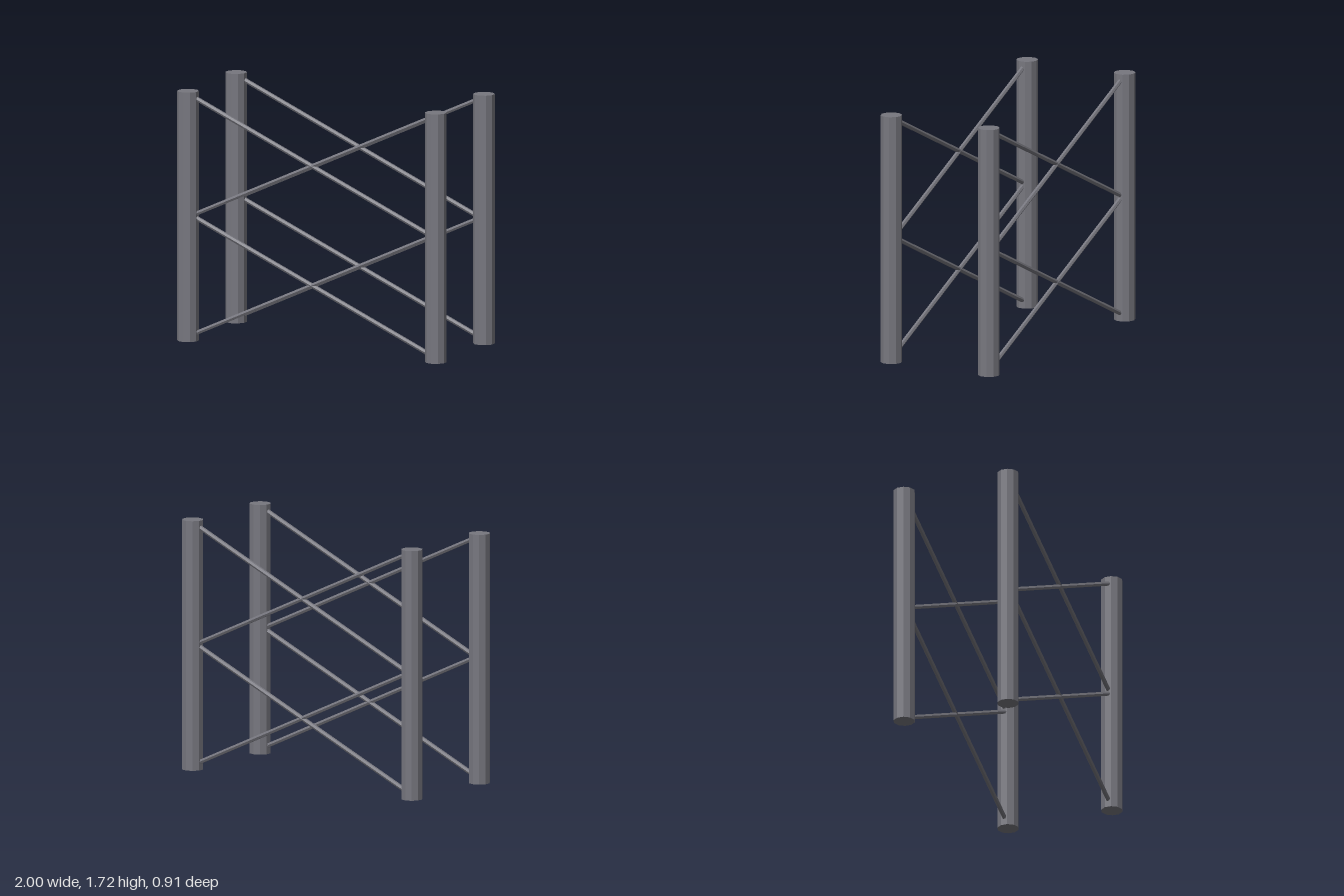
import * as THREE from 'three';

export function createModel() {
  const group = new THREE.Group();
  const steel = new THREE.MeshStandardMaterial({ color: 0x77777f, flatShading: true });
  steel.name = 'grey steel';

  const height = 1.72, postX = 0.93, postZ = 0.38;
  const up = new THREE.Vector3(0, 1, 0);

  // Straight round bar between two points
  function bar(name, from, to, radius, sides) {
    const dir = to.clone().sub(from);
    const mesh = new THREE.Mesh(new THREE.CylinderGeometry(radius, radius, dir.length(), sides), steel);
    mesh.name = name;
    mesh.position.copy(from).add(to).multiplyScalar(0.5);
    mesh.quaternion.setFromUnitVectors(up, dir.normalize());
    group.add(mesh);
  }

  for (const z of [postZ, -postZ]) {
    const face = z > 0 ? 'front' : 'back';

    // Ten-sided upright posts
    for (const x of [postX, -postX]) {
      const side = x > 0 ? 'Left' : 'Right';
      bar(`${face}${side}Post`, new THREE.Vector3(x, 0, z), new THREE.Vector3(x, height, z), 0.074, 10);
    }

    // Two crossed pairs of diagonal braces, one above the other
    for (const [level, y] of [['Lower', 0.452], ['Upper', 1.275]]) {
      for (const s of [1, -1]) {
        bar(`${face}${level}Brace${s > 0 ? 'Rising' : 'Falling'}`,
          new THREE.Vector3(-postX, y - s * 0.425, z),
          new THREE.Vector3(postX, y + s * 0.425, z), 0.016, 6);
      }
    }
  }
  return group;
}
